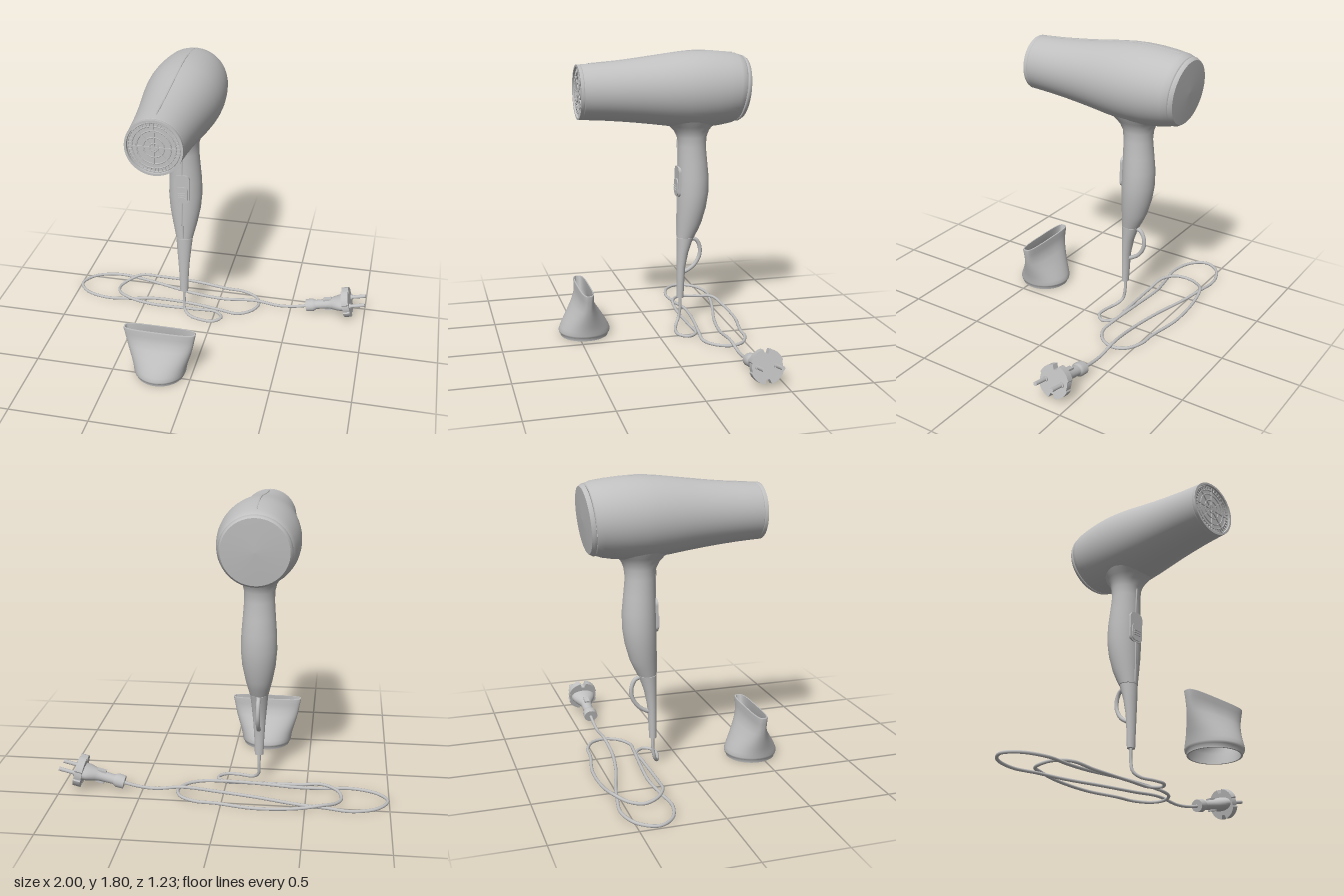
import * as THREE from 'three';

const grey = new THREE.MeshStandardMaterial({ color: 0xc0c0c0, side: THREE.DoubleSide });
grey.name = 'grey plastic';
const CX = -0.2;      // dryer centre line
const AXIS_Y = 1.56;  // barrel axis height
const V = (x, y, z) => new THREE.Vector3(x, y, z);

function add(parent, name, geometry, x = 0, y = 0, z = 0) {
  const mesh = new THREE.Mesh(geometry, grey);
  mesh.name = name;
  mesh.position.set(x, y, z);
  parent.add(mesh);
  return mesh;
}

// Skin of superelliptic rings [height, halfX, halfZ, centreZ, power]; a repeated ring gives a crease
function loft(rings, n = 64) {
  const pos = [], index = [];
  for (const [h, a, b = a, cz = 0, p = 2] of rings) {
    for (let i = 0; i < n; i++) {
      const t = (i / n) * Math.PI * 2, c = Math.cos(t), s = Math.sin(t);
      pos.push(a * Math.sign(c) * Math.abs(c) ** (2 / p), h, cz + b * Math.sign(s) * Math.abs(s) ** (2 / p));
    }
  }
  for (let r = 0; r < rings.length - 1; r++) {
    for (let i = 0; i < n; i++) {
      const j = (i + 1) % n, a = r * n + i, b = r * n + j;
      index.push(a, a + n, b, b, a + n, b + n);
    }
  }
  const g = new THREE.BufferGeometry();
  g.setAttribute('position', new THREE.Float32BufferAttribute(pos, 3));
  g.setIndex(index);
  g.computeVertexNormals();
  return g;
}

// Barrel loft: heights run along z, and the rear leans back slightly
function barrelLoft(rings) {
  const g = loft(rings).rotateX(Math.PI / 2);
  const p = g.attributes.position;
  for (let i = 0; i < p.count; i++) {
    const k = THREE.MathUtils.smoothstep(-p.getZ(i), 0.35, 0.56);
    p.setZ(i, p.getZ(i) - p.getY(i) * 0.1 * k);
  }
  g.computeVertexNormals();
  return g;
}

const tube = (points, r, segments = 40, sides = 10) =>
  new THREE.TubeGeometry(new THREE.CatmullRomCurve3(points), segments, r, sides);

function buildBarrel(parent) {
  add(parent, 'barrel', barrelLoft([
    [-0.56, 0.195], [-0.555, 0.207], [-0.52, 0.22], [-0.45, 0.231], [-0.37, 0.239], [-0.28, 0.241], [-0.2, 0.237],
    [-0.1, 0.227], [0, 0.213], [0.1, 0.2], [0.2, 0.189], [0.32, 0.178], [0.448, 0.17], [0.45, 0.166], [0.454, 0.166],
    [0.456, 0.17], [0.475, 0.169], [0.475, 0.169], [0.475, 0.156], [0.475, 0.156],
    [0.44, 0.154], [0.44, 0.154], [0.44, 0],
  ]), CX, AXIS_Y, 0);
  add(parent, 'rearCap', barrelLoft([
    [-0.597, 0], [-0.593, 0.12], [-0.589, 0.193], [-0.589, 0.193], [-0.58, 0.2], [-0.566, 0.208], [-0.562, 0.2],
  ]), CX, AXIS_Y - 0.003, 0);
  // Seam along the top
  add(parent, 'topSeam', tube([
    V(CX, 1.732, 0.4), V(CX, 1.748, 0.2), V(CX, 1.772, 0), V(CX, 1.796, -0.2), V(CX, 1.8, -0.3), V(CX, 1.782, -0.52),
  ], 0.005), 0, 0, 0);
}

function buildGrille(parent) {
  const grille = new THREE.Group();
  grille.name = 'airGrille';
  grille.position.set(CX, AXIS_Y, 0.462);
  parent.add(grille);
  for (const r of [0.15, 0.127, 0.1, 0.06, 0.025]) {
    add(grille, 'grilleRing', new THREE.TorusGeometry(r, 0.004, 6, 48));
  }
  for (let i = 0; i < 4; i++) {
    add(grille, 'grilleSpoke', new THREE.BoxGeometry(0.3, 0.007, 0.008)).rotation.z = i * Math.PI / 4;
  }
  for (let i = 0; i < 40; i++) {
    const t = (i / 40) * Math.PI * 2;
    const fin = add(grille, 'grilleFin', new THREE.BoxGeometry(0.024, 0.004, 0.008),
      0.138 * Math.cos(t), 0.138 * Math.sin(t), 0);
    fin.rotation.z = t;
  }
}

function buildHandle(parent) {
  add(parent, 'handle', loft([
    [0.6, 0, 0, -0.222], [0.6, 0.057, 0.057, -0.222], [0.6, 0.057, 0.057, -0.222], [0.65, 0.069, 0.07, -0.235],
    [0.7, 0.081, 0.081, -0.246], [0.8, 0.1, 0.095, -0.26], [0.9, 0.108, 0.102, -0.268], [1, 0.105, 0.101, -0.269],
    [1.1, 0.097, 0.095, -0.265], [1.2, 0.09, 0.09, -0.26], [1.26, 0.092, 0.096, -0.26], [1.3, 0.102, 0.114, -0.256],
    [1.33, 0.12, 0.14, -0.254], [1.355, 0.136, 0.168, -0.252], [1.38, 0.15, 0.2, -0.25],
  ]), CX, 0, 0);
  add(parent, 'handleSeam', tube([
    V(CX, 1.24, -0.165), V(CX, 1.1, -0.169), V(CX, 0.9, -0.166), V(CX, 0.7, -0.165), V(CX, 0.61, -0.165),
  ], 0.005));
  // Tapered cord guard with hanging loop
  add(parent, 'cordGuard', loft([
    [0.19, 0, 0, -0.188], [0.19, 0.027, 0.022, -0.188], [0.19, 0.027, 0.022, -0.188], [0.3, 0.031, 0.025, -0.19],
    [0.4, 0.037, 0.028, -0.193], [0.5, 0.046, 0.038, -0.203], [0.597, 0.055, 0.055, -0.22],
    [0.597, 0.055, 0.055, -0.22], [0.597, 0, 0, -0.22],
  ], 40), CX, 0, 0);
  add(parent, 'hangingLoop', tube([
    V(CX, 0.59, -0.255), V(CX, 0.575, -0.295), V(CX, 0.53, -0.318), V(CX, 0.47, -0.318),
    V(CX, 0.41, -0.285), V(CX, 0.375, -0.24), V(CX, 0.36, -0.205),
  ], 0.013));
  // Slide switch
  const plate = (w, h, d) => {
    const r = w * 0.35, s = new THREE.Shape();
    s.moveTo(-w / 2 + r, -h / 2);
    for (const [x, y, a] of [[1, -1, -1], [1, 1, 0], [-1, 1, 1], [-1, -1, 2]]) {
      s.absarc(x * (w / 2 - r), y * (h / 2 - r), r, a * Math.PI / 2, (a + 1) * Math.PI / 2, false);
    }
    return new THREE.ExtrudeGeometry(s, { depth: d, bevelEnabled: false, curveSegments: 8 });
  };
  add(parent, 'switchFrame', plate(0.1, 0.2, 0.035), CX, 0.97, -0.197);
  add(parent, 'switchSlider', plate(0.078, 0.11, 0.01), CX, 0.935, -0.165);
  for (const y of [0.93, 0.945, 0.915]) {
    add(parent, 'switchRib', new THREE.BoxGeometry(0.05, 0.006, 0.008), CX, y, -0.153);
  }
}

function buildNozzle(parent) {
  // Round socket flattening to a slot, hollow right through
  add(parent, 'nozzle', loft([
    [0, 0.152], [0, 0.152], [0.018, 0.154], [0.022, 0.162], [0.035, 0.165, 0.165], [0.06, 0.168, 0.156],
    [0.1, 0.178, 0.135], [0.15, 0.193, 0.103, 0, 2.1], [0.2, 0.206, 0.07, 0, 2.3], [0.24, 0.214, 0.049, 0, 2.7],
    [0.28, 0.221, 0.043, 0, 3.2], [0.315, 0.228, 0.042, 0, 3.5], [0.32, 0.226, 0.04, 0, 3.5],
    [0.32, 0.226, 0.04, 0, 3.5], [0.32, 0.218, 0.033, 0, 3.5], [0.32, 0.218, 0.033, 0, 3.5],
    [0.24, 0.203, 0.04, 0, 2.7], [0.2, 0.195, 0.06, 0, 2.3], [0.15, 0.182, 0.092], [0.1, 0.167, 0.123],
    [0.06, 0.152, 0.143], [0, 0.142], [0, 0.142], [0, 0.152],
  ]), CX, 0, 0.455);
}

function buildCord(parent) {
  // Drops from the handle, then lies in three loose loops
  add(parent, 'cord', tube([
    V(-0.2, 0.2, -0.188), V(-0.2, 0.12, -0.188), V(-0.195, 0.05, -0.175), V(-0.16, 0.018, -0.15),
    V(-0.07, 0.012, -0.122), V(0.01, 0.012, -0.122), V(0.057, 0.012, -0.175), V(0.01, 0.012, -0.235),
    V(-0.15, 0.012, -0.235), V(-0.45, 0.014, -0.23), V(-0.6, 0.03, -0.247), V(-0.69, 0.025, -0.31),
    V(-0.715, 0.015, -0.39), V(-0.68, 0.02, -0.47), V(-0.6, 0.036, -0.535), V(-0.45, 0.022, -0.565),
    V(-0.2, 0.012, -0.57), V(0.03, 0.012, -0.53), V(0.15, 0.012, -0.52), V(0.25, 0.012, -0.465),
    V(0.28, 0.012, -0.385), V(0.24, 0.012, -0.295), V(0.15, 0.012, -0.243), V(0.03, 0.022, -0.25),
    V(-0.2, 0.03, -0.275), V(-0.45, 0.022, -0.287), V(-0.62, 0.012, -0.262), V(-0.78, 0.012, -0.245),
    V(-0.93, 0.012, -0.295), V(-0.99, 0.012, -0.385), V(-0.93, 0.012, -0.49), V(-0.78, 0.012, -0.544),
    V(-0.62, 0.016, -0.525), V(-0.45, 0.012, -0.49), V(-0.2, 0.012, -0.425), V(0.03, 0.018, -0.39),
    V(0.25, 0.036, -0.39), V(0.42, 0.018, -0.39), V(0.54, 0.03, -0.39), V(0.64, 0.055, -0.39),
  ], 0.01, 360, 10));
}

function buildPlug(parent) {
  const plug = new THREE.Group();
  plug.name = 'plug';
  plug.position.set(0.61, 0.05, -0.39);
  plug.rotation.z = 0.24;
  parent.add(plug);
  add(plug, 'plugBody', loft([
    [0, 0], [0, 0.04, 0.045], [0, 0.04, 0.045], [0.045, 0.042, 0.045], [0.06, 0.034, 0.036], [0.07, 0.03, 0.032],
    [0.15, 0.032, 0.036], [0.18, 0.038, 0.05], [0.21, 0.042, 0.068], [0.235, 0.044, 0.078], [0.26, 0.045, 0.08],
  ], 32).rotateZ(-Math.PI / 2));
  // Raised grips on the body
  for (const s of [-1, 1]) {
    add(plug, 'plugGrip', new THREE.BoxGeometry(0.055, 0.012, 0.032), 0.15, s * 0.036, 0);
    add(plug, 'plugPin', new THREE.CylinderGeometry(0.012, 0.012, 0.12, 16).rotateZ(Math.PI / 2), 0.342, 0, s * 0.055);
    add(plug, 'plugPinBase', new THREE.CylinderGeometry(0.017, 0.017, 0.02, 16).rotateZ(Math.PI / 2), 0.3, 0, s * 0.055);
  }
  // Face disc with notches at top and bottom and flattened sides
  const outline = [];
  for (let i = 0; i < 96; i++) {
    const t = (i / 96) * Math.PI * 2, c = Math.abs(Math.cos(t)), s = Math.abs(Math.sin(t));
    const r = c < 0.16 ? 0.072 : s < 0.3 ? 0.092 : 0.1;
    outline.push(new THREE.Vector2(r * Math.cos(t), r * Math.sin(t)));
  }
  const disc = new THREE.ExtrudeGeometry(new THREE.Shape(outline), { depth: 0.045, bevelEnabled: false });
  add(plug, 'plugFace', disc.rotateY(Math.PI / 2), 0.255, 0, 0);
}

export function createModel() {
  const model = new THREE.Group();
  model.name = 'hairDryer';
  for (const build of [buildBarrel, buildGrille, buildHandle, buildNozzle, buildCord, buildPlug]) build(model);
  return model;
}
